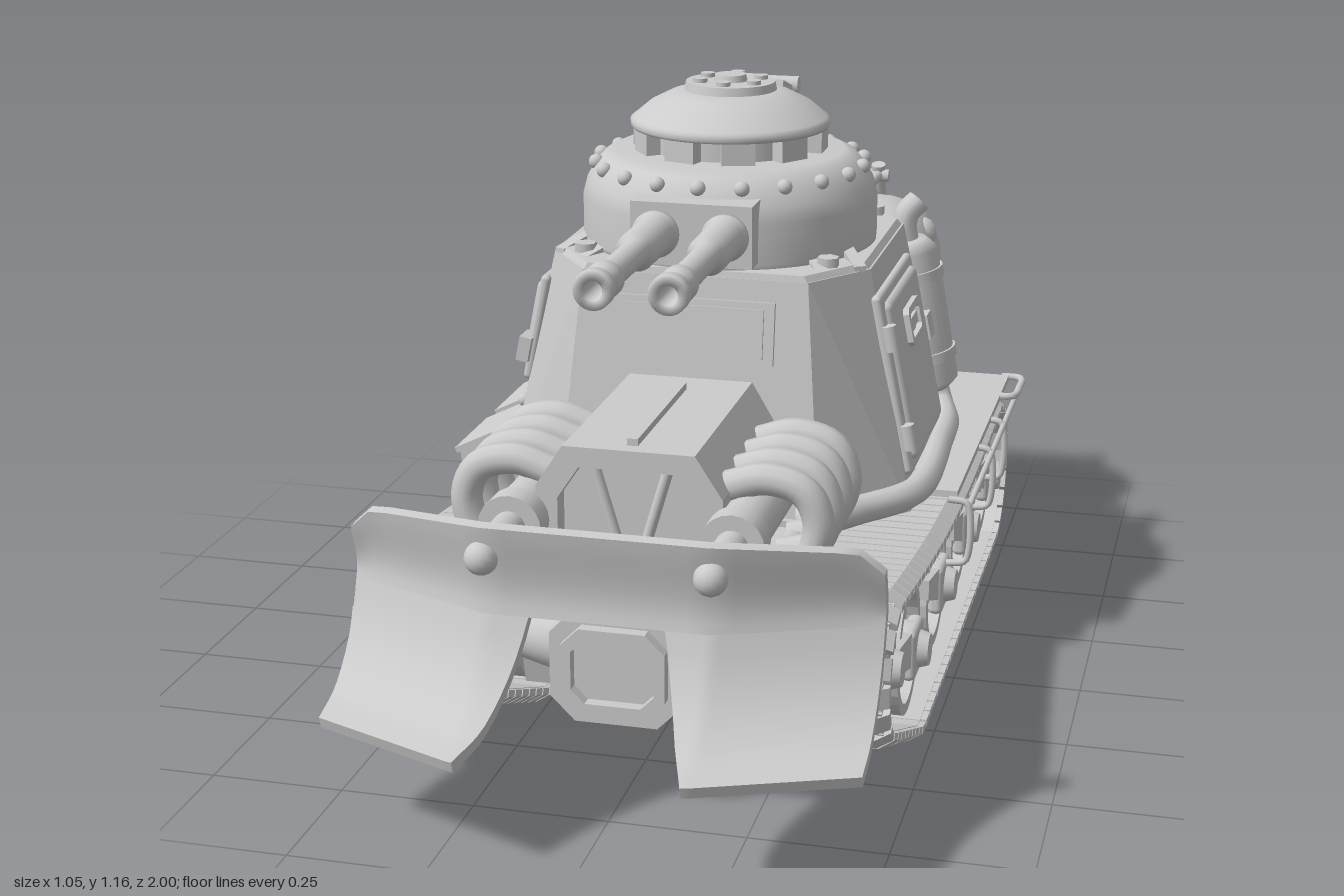
import * as THREE from 'three';
import { mergeGeometries } from 'three/addons/utils/BufferGeometryUtils.js';
import { RoundedBoxGeometry } from 'three/addons/geometries/RoundedBoxGeometry.js';
import { ConvexGeometry } from 'three/addons/geometries/ConvexGeometry.js';

const mat = new THREE.MeshStandardMaterial({ color: 0xcccccc });
const V = (x, y, z) => new THREE.Vector3(x, y, z);
const SIDES = [1, -1], TAU = Math.PI * 2;

function place(parent, obj, name, x = 0, y = 0, z = 0, rx = 0, ry = 0, rz = 0) {
  obj.name = name;
  obj.position.set(x, y, z);
  obj.rotation.set(rx, ry, rz);
  parent.add(obj);
  return obj;
}
const add = (parent, name, geo, ...at) => place(parent, new THREE.Mesh(geo, mat), name, ...at);
const group = (parent, name, ...at) => place(parent, new THREE.Group(), name, ...at);
const box = (w, h, d) => new THREE.BoxGeometry(w, h, d);
const cyl = (rTop, rBottom, h, n = 28) => new THREE.CylinderGeometry(rTop, rBottom, h, n);
const ball = r => new THREE.SphereGeometry(r, 14, 10);
const tube = (pts, r, n = 24) => new THREE.TubeGeometry(new THREE.CatmullRomCurve3(pts), n, r, 10);
const lathe = (pts, n = 48) => new THREE.LatheGeometry(pts.map(p => new THREE.Vector2(...p)), n);
const shape = pts => new THREE.Shape(pts.map(p => new THREE.Vector2(...p)));
const extrude = (s, depth) => new THREE.ExtrudeGeometry(s, { depth, bevelEnabled: false, curveSegments: 16 });
// Plate in the y-z plane, 0.024 thick
const plate = pts => new ConvexGeometry([-0.012, 0.012].flatMap(x => pts.map(([y, z]) => V(x, y, z))));
// Straight rod from a to b
function rod(parent, name, a, b, r, r2 = r) {
  const m = add(parent, name, cyl(r2, r, a.distanceTo(b), 20));
  m.position.copy(a).lerp(b, 0.5);
  m.quaternion.setFromUnitVectors(V(0, 1, 0), b.clone().sub(a).normalize());
}
// Octagon with cut corners
const octagon = (w, h, c) => [[-w, -h + c], [-w + c, -h], [w - c, -h], [w, -h + c], [w, h - c], [w - c, h], [-w + c, h], [-w, h - c]];
function octagonFrame(w, h, c, t, depth) {
  const s = shape(octagon(w, h, c));
  s.holes.push(shape(octagon(w - t, h - t, c * 0.7)));
  return extrude(s, depth);
}

// Track wraps the outline of three circles [z, y, r]; its upper run sags
function trackGeometry() {
  const circles = [[-0.73, 0.175, 0.145], [0.27, 0.175, 0.145], [0.585, 0.27, 0.11]];
  const path = new THREE.CurvePath(), n = 78, parts = [];
  const pts = Array.from({ length: 120 }, (_, i) => {
    const dz = Math.cos(i / 120 * TAU), dy = Math.sin(i / 120 * TAU), reach = k => k[0] * dz + k[1] * dy + k[2];
    const c = circles.reduce((m, k) => (reach(k) > reach(m) ? k : m));
    return V(0, c[1] + c[2] * dy, c[0] + c[2] * dz);
  });
  pts.forEach((p, i) => path.add(new THREE.LineCurve3(p, pts[(i + 1) % pts.length])));
  const step = path.getLength() / n;
  const section = shape([[-0.122, 0], [0.122, 0], [0.122, 0.013], [0.095, 0.03], [-0.095, 0.03], [-0.122, 0.013]]);
  const at = u => {
    const p = path.getPointAt((u + 1) % 1);
    if (p.y > 0.29 && p.z < 0.57 && p.z > -0.73) p.y -= 0.042 * Math.sin((p.z + 0.73) / 1.3 * Math.PI);
    return p;
  };
  for (let i = 0; i < n; i++) {
    const T = at((i - 0.5) / n).sub(at((i + 0.5) / n)).normalize(), X = V(1, 0, 0);
    const M = new THREE.Matrix4().makeBasis(X, T.clone().cross(X), T).setPosition(at(i / n));
    const blocks = [box(0.22, 0.02, step * 1.1).translate(0, 0.009, 0), box(0.035, 0.025, step * 0.4).translate(0, -0.01, 0)];
    const link = extrude(section, step * 0.86).translate(0, 0, -step * 0.43);
    parts.push(...[link, ...blocks.map(b => b.toNonIndexed())].map(g => g.applyMatrix4(M)));
  }
  return mergeGeometries(parts);
}

// Pierced wheel, turned to lie across x
function wheel(parent, s, z, y, r) {
  const g = group(parent, 'wheel', s * 0.365, y, z, 0, s * Math.PI / 2, 0);
  const circle = k => new THREE.Shape().absarc(0, 0, r * k, 0, TAU), disc = circle(0.86), rim = circle(1);
  for (let i = 0; i < 10; i++) {
    const a = i / 10 * TAU;
    disc.holes.push(new THREE.Path().absarc(Math.cos(a) * r * 0.67, Math.sin(a) * r * 0.67, r * 0.12, 0, TAU));
  }
  rim.holes.push(circle(0.83));
  for (const e of SIDES) {
    add(g, 'wheelDisc', extrude(disc, 0.015), 0, 0, e * 0.055 - 0.0075);
    add(g, 'wheelRim', extrude(rim, 0.06), 0, 0, e * 0.055 - 0.03);
  }
  add(g, 'wheelHub', cyl(r * 0.4, r * 0.48, 0.18), 0, 0, 0, Math.PI / 2);
  add(g, 'hubHousing', new RoundedBoxGeometry(0.1, 0.1, 0.03, 2, 0.012), 0, 0, 0.09);
  add(g, 'hubCap', cyl(0.03, 0.038, 0.025), 0, 0, 0.112, Math.PI / 2);
}

function runningGear(root) {
  const belt = trackGeometry();
  for (const s of SIDES) {
    const g = group(root, s > 0 ? 'leftRunningGear' : 'rightRunningGear');
    add(g, 'track', belt, s * 0.365);
    [[0.27, 0.175, 0.128], [-0.06, 0.175, 0.128], [-0.39, 0.175, 0.128], [-0.73, 0.175, 0.14], [0.585, 0.27, 0.105]].forEach(w => wheel(g, s, ...w));
    // Swing arms between hubs
    [[0.27, 0.56, 0.25], [-0.06, 0.12, 0.23], [-0.39, -0.21, 0.23], [-0.73, -0.54, 0.23]].forEach(([z0, z1, y]) =>
      add(g, 'swingArm', plate([[0.14, z0], [0.215, z0], [y - 0.02, z1], [y + 0.02, z1]]), s * 0.45));
  }
  // Axles and their octagonal gearboxes
  [[0.585, 0.27, 0.595, 1], [-0.73, 0.175, -0.75, -1]].forEach(([z, y, zc, front]) => {
    rod(root, 'axle', V(-0.4, y, z), V(0.4, y, z), 0.035);
    SIDES.forEach(s => rod(root, 'axleCollar', V(s * 0.12, y, z), V(s * 0.2, y, z), 0.065, 0.045));
    add(root, 'gearbox', extrude(shape(octagon(0.12, 0.105, 0.045)), 0.2), 0, y - 0.005, zc - 0.1);
    add(root, 'gearboxCover', octagonFrame(0.095, 0.08, 0.035, 0.02, 0.025), 0, y - 0.005, zc + front * 0.11 - 0.0125);
  });
}

function hull(root) {
  const g = group(root, 'hull');
  const ring = (y, pts) => pts.flatMap(([x, z]) => SIDES.map(s => V(s * x, y, z)));
  const top = [[0.22, 0.13], [0.315, 0], [0.315, -0.38], [0.2, -0.53]];
  add(g, 'lowerHull', new ConvexGeometry([...ring(0.12, [[0.24, 0.47], [0.24, -0.58]]), ...ring(0.37, [[0.24, 0.53], [0.24, -0.6]]), ...ring(0.25, [[0.24, 0.5]])]));
  add(g, 'deck', box(0.56, 0.025, 0.8), 0, 0.37, -0.19);
  add(g, 'casemate', new ConvexGeometry([...ring(0.36, [[0.26, 0.2], [0.41, 0.04], [0.41, -0.42], [0.23, -0.58]]), ...ring(0.83, top)]));
  add(g, 'casemateRoof', new ConvexGeometry([...ring(0.825, top), ...ring(0.842, top.map(([x, z]) => [x * 0.96, z * 0.97]))]));
  add(g, 'rearLocker', box(0.38, 0.07, 0.09), 0, 0.8, -0.56);
  add(g, 'frontPanel', box(0.32, 0.12, 0.012), 0, 0.73, 0.148, -0.145);
  add(g, 'frontPanelInset', box(0.28, 0.095, 0.022), 0, 0.73, 0.149, -0.145);
  for (const s of SIDES) {
    [[0.24, 0.04], [0.25, -0.4]].forEach(([x, z]) => add(g, 'roofBolt', cyl(0.022, 0.022, 0.025, 6), s * x, 0.847, z));
    [0.21, 0.27].forEach((x, i) => add(g, 'roofGusset', plate([[0.83, 0.06], [0.83, -0.05], [0.865, -0.05], [0.84, 0.06]]), s * x, 0, 0.03 - i * 0.06, 0, s * 0.5));
    // Side hatches lie on the sloped walls; the right one is shorter, above a bolted strip
    const left = s > 0, h = left ? 0.36 : 0.22;
    const p = group(group(g, left ? 'leftDoor' : 'rightHatch', s * 0.365, 0.6, -0.155, 0, s * Math.PI / 2, 0), 'leaf', 0, 0, 0, -0.2);
    add(p, 'doorFrame', new RoundedBoxGeometry(0.36, h, 0.02, 2, 0.009), 0, 0.185 - h / 2, 0);
    add(p, 'doorPanel', new RoundedBoxGeometry(0.31, h - 0.04, 0.045, 3, 0.015), 0, 0.185 - h / 2, 0);
    add(p, 'visorFrame', octagonFrame(0.062, 0.038, 0.01, 0.014, 0.02), 0, 0.085, 0.014);
    add(p, 'visorSlit', box(0.075, 0.022, 0.012), 0, 0.085, 0.024);
    [left ? -0.1 : 0.02, 0.1].forEach(y => rod(p, 'hinge', V(-0.175, y - 0.025, 0.016), V(-0.175, y + 0.025, 0.016), 0.014));
    add(p, 'latch', box(0.05, 0.05, 0.025), 0.17, 0.03, 0.014);
    if (left) [-0.195, -0.215].forEach(y => add(p, 'lowerVent', box(0.2, 0.012, 0.02), 0, y, 0.008));
    else [-0.15, -0.05, 0.05, 0.15].forEach(x => add(p, 'stripBolt', ball(0.014), x, -0.09, 0.004));
  }
  // Fender with rails on the left, stowage boxes on the right
  add(g, 'fender', box(0.14, 0.014, 0.8), 0.415, 0.36, -0.475);
  add(g, 'fenderLoop', tube([V(0.47, 0.362, -0.88), V(0.51, 0.362, -0.875), V(0.518, 0.362, -0.8), V(0.51, 0.362, -0.735), V(0.47, 0.362, -0.73)], 0.008));
  [-0.06, -0.39, -0.58].forEach(z => add(g, 'fenderStrut', tube([V(0.47, 0.355, z), V(0.505, 0.35, z), V(0.513, 0.33, z), V(0.513, 0.25, z), V(0.505, 0.227, z), V(0.47, 0.22, z)], 0.007)));
  rod(g, 'fenderSideRail', V(0.512, 0.345, -0.06), V(0.512, 0.345, -0.8), 0.006);
  [-0.3, -0.05].forEach(z => {
    add(g, 'stowageBox', new ConvexGeometry([-0.095, 0.095].flatMap(d => [V(-0.39, 0.35, z + d), V(-0.5, 0.33, z + d), V(-0.51, 0.41, z + d), V(-0.39, 0.47, z + d)])));
    add(g, 'stowageLid', box(0.14, 0.012, 0.2), -0.455, 0.443, z, 0, 0, 0.46);
  });
}

function engine(root) {
  const g = group(root, 'engine');
  const outline = y => [[-0.17, y], [0.17, y], [0.17, 0.56], [0.12, 0.637], [-0.12, 0.637], [-0.17, 0.56]], frame = shape(outline(0.4));
  frame.holes.push(shape([[-0.13, 0.44], [0.13, 0.44], [0.13, 0.54], [0.09, 0.6], [-0.09, 0.6], [-0.13, 0.54]]));
  add(g, 'hood', extrude(shape(outline(0.35)), 0.46), 0, 0, 0.1);
  add(g, 'grilleFrame', extrude(frame, 0.04), 0, 0, 0.56);
  add(g, 'hoodHinge', box(0.02, 0.02, 0.34), 0, 0.64, 0.4);
  for (const s of SIDES) {
    rod(g, 'grilleBar', V(s * 0.02, 0.44, 0.58), V(s * 0.07, 0.61, 0.58), 0.01);
    [[0.15, 0.62, 0.05], [0.61, 0.66, 0.058], [0.64, 0.79, 0.03]].forEach(([a, b, r]) => rod(g, 'bladeRam', V(s * 0.2, 0.5, a), V(s * 0.2, 0.5, b), r));
    [0.27, 0.355, 0.44, 0.525].forEach(z => add(g, 'exhaustLoop', tube([V(s * 0.16, 0.56, z), V(s * 0.23, 0.58, z), V(s * 0.3, 0.56, z), V(s * 0.325, 0.5, z), V(s * 0.3, 0.43, z), V(s * 0.24, 0.41, z)], 0.029)));
    add(g, 'exhaustPipe', tube([V(s * 0.25, 0.41, 0.56), V(s * 0.26, 0.4, 0.27), V(s * 0.32, 0.395, 0.16), V(s * 0.41, 0.395, 0.03), V(s * 0.415, 0.395, -0.3), V(s * 0.405, 0.395, -0.44), V(s * 0.38, 0.41, -0.52), V(s * 0.36, 0.47, -0.53)], 0.028, 60));
    // Muffler leaning along the rear corner
    const m = group(g, 'muffler', s * 0.33, 0.605, -0.51, 0.06, 0, s * 0.17);
    add(m, 'mufflerBody', lathe([[0, -0.17], [0.04, -0.17], [0.062, -0.15], [0.062, 0.14], [0.04, 0.165], [0, 0.165]], 28));
    [-0.09, 0.09].forEach(y => add(m, 'mufflerBand', cyl(0.067, 0.067, 0.022), 0, y));
    add(m, 'tailPipe', tube([V(0, 0.15, 0), V(0, 0.19, 0), V(s * 0.01, 0.22, -0.005), V(s * 0.035, 0.24, -0.02)], 0.026));
  }
}

// Blade slabs curve in height and sweep back outward; edges(v) gives inner and outer x
function blade(root) {
  const g = group(root, 'dozerBlade');
  const profile = new THREE.CatmullRomCurve3([V(0, 0.2, 0.998), V(0, 0.225, 0.92), V(0, 0.3, 0.84), V(0, 0.42, 0.79), V(0, 0.56, 0.81)]);
  const slab = (name, t0, t1, edges) => {
    const geo = new THREE.BoxGeometry(1, 1, 1, 24, 10, 1), p = geo.attributes.position;
    for (let i = 0; i < p.count; i++) {
      const v = p.getY(i) + 0.5, t = t0 + (t1 - t0) * v, [a, b] = edges(v), k = p.getZ(i) * 0.022;
      const x = a + (b - a) * (p.getX(i) + 0.5), c = profile.getPoint(t), n = profile.getTangent(t);
      const out = Math.max(0, Math.abs(x) - 0.2), drop = Math.max(0, t - 0.7) / 0.3 * (out * 0.1 + 12 * Math.max(0, out - 0.22) ** 2);
      p.setXYZ(i, x, c.y - n.z * k - drop, c.z + n.y * k - 0.4 * out);
    }
    geo.computeVertexNormals();
    add(g, name, geo);
  };
  slab('bladeTop', 0.7, 1, () => [-0.475, 0.475]);
  slab('bladeLeft', 0, 0.7, v => [0.195 - 0.075 * v, 0.475]);
  slab('bladeRight', 0, 0.7, v => [-0.475, -0.195 + 0.075 * v]);
  SIDES.forEach(s => add(g, 'bladeBolt', ball(0.03), s * 0.2, 0.5, 0.81));
  add(g, 'bladeCrossBar', box(0.36, 0.04, 0.03), 0, 0.5, 0.775);
}

function turret(root) {
  const g = group(root, 'turret', 0, 0, -0.165);
  add(g, 'turretBody', lathe([[0, 0.83], [0.29, 0.83], [0.292, 0.85], [0.292, 0.93], [0.284, 0.96], [0.268, 0.988], [0.25, 1.008], [0.225, 1.02], [0, 1.025]], 64));
  add(g, 'cupolaDrum', cyl(0.165, 0.165, 0.08, 40), 0, 1.04);
  for (let i = 0; i < 20; i++) {
    const a = i / 20 * TAU, x = Math.sin(a), z = Math.cos(a);
    add(g, 'turretBolt', ball(0.015), x * 0.266, 0.993, z * 0.266);
    if (i % 2) add(g, 'cupolaBlock', box(0.065, 0.055, 0.04), x * 0.17, 1.045, z * 0.17, 0, a);
    if (i < 6) add(g, 'capBolt', cyl(0.014, 0.014, 0.012), Math.sin(i * TAU / 6) * 0.062, 1.153, Math.cos(i * TAU / 6) * 0.062);
  }
  add(g, 'cupolaCap', lathe([[0, 1.063], [0.194, 1.063], [0.197, 1.068], [0.197, 1.078], [0.19, 1.083], [0.16, 1.108], [0.12, 1.128], [0.09, 1.135], [0, 1.137]]));
  add(g, 'capDisc', cyl(0.088, 0.092, 0.02, 36), 0, 1.141);
  add(g, 'capKnob', cyl(0.03, 0.034, 0.016), 0, 1.156);
  // Rear hinge and straps
  rod(g, 'capHinge', V(-0.09, 1.105, -0.225), V(0.09, 1.105, -0.225), 0.018);
  add(g, 'gunMount', box(0.235, 0.12, 0.2), 0, 0.915, 0.22);
  const gun = lathe([[0, 0], [0.045, 0], [0.045, 0.02], [0.038, 0.025], [0.038, 0.15], [0.026, 0.16], [0.026, 0.34], [0.034, 0.345], [0.034, 0.37], [0.028, 0.375], [0.028, 0.4], [0.036, 0.405], [0.036, 0.43], [0.018, 0.43], [0.018, 0.36], [0, 0.36]], 28);
  for (const s of SIDES) {
    add(g, 'hingeArm', box(0.04, 0.012, 0.11), s * 0.06, 1.112, -0.17, -0.3);
    add(g, 'turretStrap', tube([V(s * 0.06, 1.1, -0.225), V(s * 0.06, 1.05, -0.25), V(s * 0.06, 0.98, -0.28), V(s * 0.06, 0.85, -0.287)], 0.014));
    add(g, 'gunBarrel', gun, s * 0.067, 0.915, 0.312, Math.PI / 2);
  }
}

function fuelTank(root) {
  const g = group(root, 'fuelTank', 0, 0.59, -0.785);
  const half = [[0.2, 0.17], [0.197, 0.215], [0.185, 0.262], [0.16, 0.295], [0.115, 0.318], [0.06, 0.328], [0, 0.33]];
  add(g, 'tankBody', lathe([...half.map(([r, x]) => [r, -x]).reverse(), ...half]), 0, 0, 0, 0, 0, -Math.PI / 2);
  add(g, 'fillerNeck', cyl(0.076, 0.076, 0.06), -0.015, 0.2);
  add(g, 'fillerCap', cyl(0.07, 0.08, 0.018), -0.015, 0.235);
  for (let i = 0; i < 6; i++) add(g, 'fillerBolt', ball(0.013), -0.015 + Math.cos(i * TAU / 6) * 0.05, 0.243, Math.sin(i * TAU / 6) * 0.05);
  add(g, 'tankPlug', ball(0.035), 0.29, 0.125, 0.01);
  for (const s of SIDES) {
    add(g, 'tankBand', cyl(0.204, 0.204, 0.03, 48), s * 0.165, 0, 0, 0, 0, Math.PI / 2);
    rod(g, 'frameSideBar', V(s * 0.165, 0.225, 0.2), V(s * 0.165, 0.215, -0.14), 0.012);
    rod(g, 'frameRearPost', V(s * 0.165, 0.24, -0.14), V(s * 0.165, 0.08, -0.187), 0.016);
    [0.07, 0.2].forEach(x => add(g, 'tankCradle', plate([[-0.225, 0.22], [-0.225, -0.03], [-0.12, -0.175], [-0.1, 0.19]]), s * x));
  }
  rod(g, 'frameCrossBar', V(-0.19, 0.215, -0.14), V(0.19, 0.215, -0.14), 0.014);
  add(g, 'rearPlate', box(0.33, 0.06, 0.02), 0, 0.07, -0.187, 0.36);
  for (let i = -2; i <= 2; i++) add(g, 'rearPlateBolt', ball(0.012), i * 0.06, 0.07, -0.197);
}

export function createModel() {
  const root = new THREE.Group();
  root.name = 'armouredTractor';
  [runningGear, hull, engine, blade, turret, fuelTank].forEach(build => build(root));
  return root;
}
